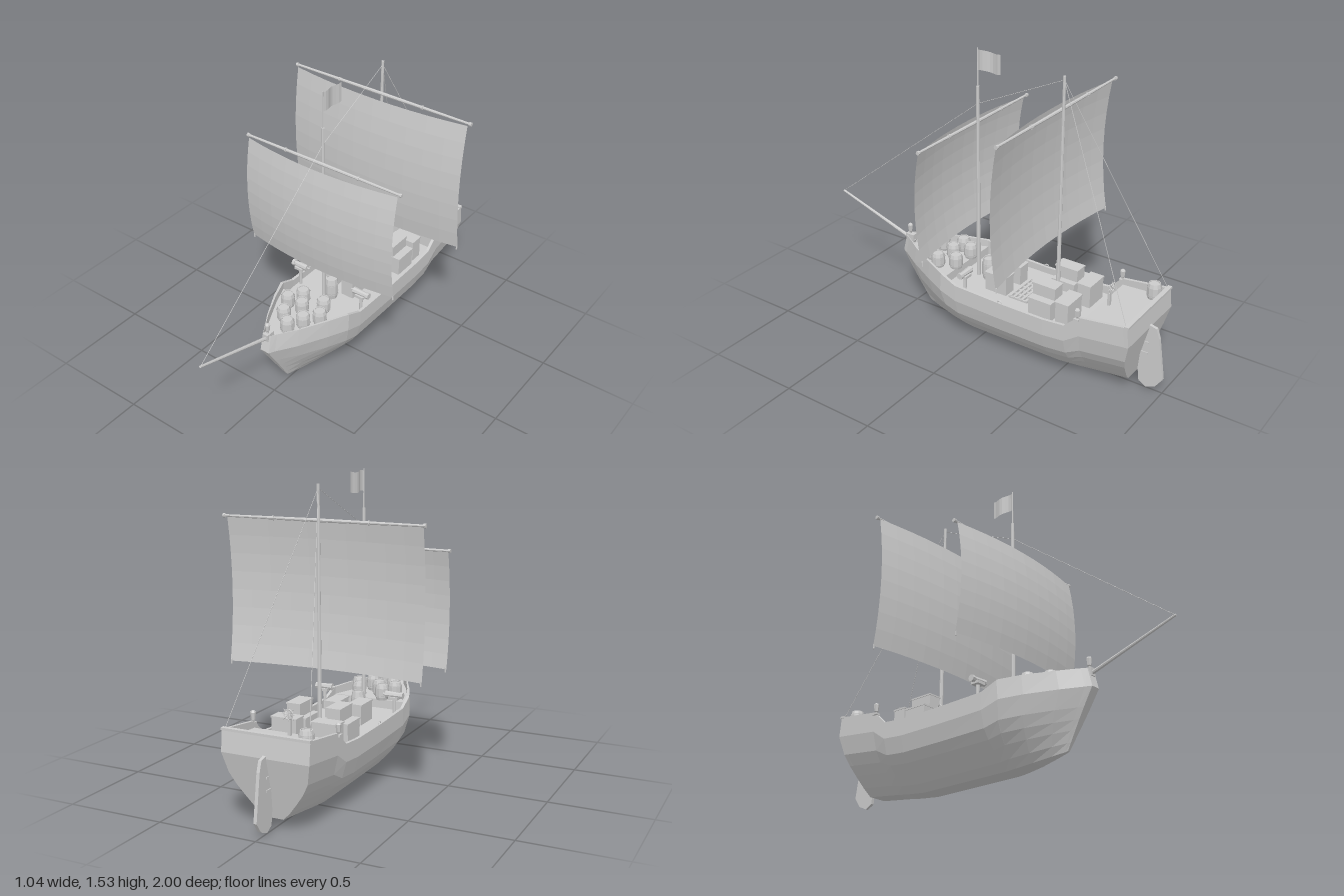
import * as THREE from 'three';

const material = new THREE.MeshStandardMaterial({ color: 0xcccccc, flatShading: true, side: THREE.DoubleSide });
const V = (x, y, z) => new THREE.Vector3(x, y, z);

function add(parent, name, geometry, x = 0, y = 0, z = 0) {
  const mesh = new THREE.Mesh(geometry, material);
  mesh.name = name;
  mesh.position.set(x, y, z);
  parent.add(mesh);
  return mesh;
}

const box = (parent, name, w, h, d, x, y, z) => add(parent, name, new THREE.BoxGeometry(w, h, d), x, y, z);

// Round bar from a to b, tapering from r0 to r1
function bar(parent, name, a, b, r0, r1 = r0, sides = 8) {
  const mesh = add(parent, name, new THREE.CylinderGeometry(r1, r0, a.distanceTo(b), sides));
  mesh.position.copy(a).lerp(b, 0.5);
  mesh.quaternion.setFromUnitVectors(V(0, 1, 0), b.clone().sub(a).normalize());
  return mesh;
}

// Hull lofted through stations from bow to stern, with bulwarks and stepped decks
function hullGeometry() {
  // [keel z, rail z, keel y, rail y, half width, deck y]
  const stations = [
    [0.40, 0.56, 0.04, 0.40, 0.025, 0.40],
    [0.385, 0.53, 0.036, 0.40, 0.04, 0.345],
    [0.32, 0.43, 0.027, 0.395, 0.1, 0.345],
    [0.22, 0.28, 0.013, 0.39, 0.173, 0.345],
    [0.12, 0.17, 0.003, 0.382, 0.218, 0.345],
    [0.118, 0.168, 0.003, 0.38, 0.219, 0.30],
    [0.07, 0.07, 0, 0.342, 0.224, 0.30],
    [-0.2, -0.2, 0, 0.335, 0.225, 0.30],
    [-0.45, -0.45, 0, 0.335, 0.225, 0.30],
    [-0.57, -0.57, 0.013, 0.345, 0.224, 0.30],
    [-0.64, -0.65, 0.024, 0.415, 0.223, 0.30],
    [-0.642, -0.652, 0.024, 0.417, 0.223, 0.385],
    [-0.82, -0.89, 0.047, 0.448, 0.22, 0.40],
    [-0.822, -0.892, 0.047, 0.448, 0.22, 0.45],
    [-0.84, -0.913, 0.05, 0.45, 0.22, 0.45],
  ];
  const profile = [[0, 0.22], [0.1, 0.4], [0.24, 0.6], [0.36, 0.76], [0.5, 0.9], [0.74, 1], [1, 1]];
  const positions = [], index = [];
  for (const [zb, zt, yk, ys, hw, deck] of stations) {
    const half = profile.map(([t, w]) => [hw * w, yk + (ys - yk) * t, zb + (zt - zb) * (t === 1 ? 0.85 : Math.min(t / 0.74, 1))]);
    const zRail = half[6][2];
    half.push([hw * 0.93, ys, zRail], [hw * 0.93, deck, zRail]);
    const mirrored = half.map(([x, y, z]) => [-x, y, z]).reverse();
    positions.push(...half.flat(), ...mirrored.flat());
  }
  const n = (profile.length + 2) * 2, last = (stations.length - 1) * n;
  for (let i = 0; i < last; i += n) {
    for (let j = 0; j < n; j++) {
      const k = (j + 1) % n, a = i + j, b = i + k, c = i + n + k, d = i + n + j;
      index.push(a, d, c, a, c, b);
    }
  }
  // Stem and transom caps
  for (let j = 0; j < n / 2 - 1; j++) {
    const a = j, b = j + 1, c = n - 2 - j, d = n - 1 - j;
    index.push(a, b, c, a, c, d);
    index.push(last + a, last + c, last + b, last + a, last + d, last + c);
  }
  const g = new THREE.BufferGeometry();
  g.setAttribute('position', new THREE.Float32BufferAttribute(positions, 3));
  g.setIndex(index);
  g.computeVertexNormals();
  return g;
}

// Square sail bellying forward, with its yard, bands and corner pegs
function squareSail(parent, name, halfWidth, y0, y1, z) {
  const rig = new THREE.Group();
  rig.name = name;
  const g = new THREE.PlaneGeometry(halfWidth * 2, y1 - y0, 10, 8);
  const p = g.attributes.position;
  for (let i = 0; i < p.count; i++) {
    const u = p.getX(i) / halfWidth, v = p.getY(i) * 2 / (y1 - y0);
    p.setZ(i, 0.045 * (1 - u * u) + 0.032 * (1 - v * v));
  }
  g.computeVertexNormals();
  add(rig, 'sail', g, 0, (y0 + y1) / 2, z + 0.01);
  const yardY = y1 + 0.008, end = halfWidth + 0.016;
  for (const s of [-1, 1]) {
    bar(rig, 'yard', V(0, yardY, z), V(s * end, yardY, z), 0.009, 0.006);
    bar(rig, 'yardTip', V(s * (end - 0.012), yardY, z), V(s * end, yardY, z), 0.01);
    bar(rig, 'yardBand', V(s * halfWidth * 0.48, yardY, z), V(s * (halfWidth * 0.48 + 0.008), yardY, z), 0.011);
    bar(rig, 'cornerPeg', V(s * (halfWidth - 0.005), y0 - 0.015, z + 0.01), V(s * (halfWidth - 0.005), y0 + 0.01, z + 0.01), 0.004);
  }
  parent.add(rig);
}

function barrel(parent, x, y, z, h = 0.085) {
  const pts = [[0, 0], [0.029, 0], [0.036, 0.3], [0.036, 0.7], [0.029, 1], [0.025, 1], [0.025, 0.94], [0, 0.94]];
  add(parent, 'barrel', new THREE.LatheGeometry(pts.map(([r, t]) => new THREE.Vector2(r, t * h)), 10), x, y, z);
  for (const t of [0.25, 0.75]) {
    add(parent, 'barrelHoop', new THREE.CylinderGeometry(0.037, 0.037, 0.006, 10, 1, true), x, y + t * h, z);
  }
}

function lantern(parent, x, y, z) {
  const pts = [[0, 0], [0.006, 0], [0.006, 0.015], [0.01, 0.02], [0.014, 0.055], [0.009, 0.062], [0, 0.065]];
  add(parent, 'lantern', new THREE.LatheGeometry(pts.map(([r, h]) => new THREE.Vector2(r, h)), 6), x, y, z);
}

function crate(parent, w, h, d, x, y, z) {
  box(parent, 'crate', w, h, d, x, y + h / 2, z);
  box(parent, 'crateLid', w + 0.006, 0.008, d + 0.006, x, y + h - 0.002, z);
}

export function createModel() {
  const ship = new THREE.Group();
  ship.name = 'sailingShip';
  add(ship, 'hull', hullGeometry());
  box(ship, 'sternRail', 0.445, 0.012, 0.022, 0, 0.45, -0.898);

  // Rudder blade with hinges
  const outline = [[0.885, 0.35], [0.91, 0.36], [0.95, 0.35], [0.967, 0.3], [1, 0.08], [0.965, 0.03], [0.915, 0.008], [0.875, 0.03], [0.866, 0.1]];
  const blade = new THREE.ExtrudeGeometry(new THREE.Shape(outline.map(([a, b]) => new THREE.Vector2(a, b))), { depth: 0.016, bevelEnabled: false });
  add(ship, 'rudder', blade.rotateY(Math.PI / 2), -0.008, 0, 0);
  for (const y of [0.2, 0.26]) box(ship, 'rudderHinge', 0.024, 0.01, 0.06, 0, y, -0.885);

  // Masts and bowsprit
  bar(ship, 'foreMast', V(0, 0.29, 0.08), V(0, 1.34, 0.08), 0.011, 0.008);
  bar(ship, 'flagPole', V(0, 1.33, 0.08), V(0, 1.53, 0.08), 0.004, 0.003);
  bar(ship, 'mainMast', V(0, 0.29, -0.4), V(0, 1.49, -0.4), 0.011, 0.007);
  bar(ship, 'bowsprit', V(0, 0.366, 0.5), V(0, 0.53, 0.998), 0.01, 0.006);
  box(ship, 'bowspritSocket', 0.03, 0.04, 0.05, 0, 0.385, 0.525);
  lantern(ship, 0, 0.4, 0.53);

  squareSail(ship, 'foreSail', 0.44, 0.56, 1.142, 0.093);
  squareSail(ship, 'mainSail', 0.505, 0.61, 1.314, -0.384);

  // Rippled flag
  const flag = new THREE.PlaneGeometry(0.135, 0.1, 8, 1).rotateY(Math.PI / 2);
  const fp = flag.attributes.position;
  for (let i = 0; i < fp.count; i++) {
    const k = 0.0675 - fp.getZ(i);
    fp.setX(i, 0.007 * Math.sin(k * 60));
    fp.setY(i, fp.getY(i) + 0.004 * Math.sin(k * 50));
  }
  flag.computeVertexNormals();
  add(ship, 'flag', flag, 0, 1.472, 0.0125);

  // Rigging
  const rope = (a, b) => bar(ship, 'rope', a, b, 0.0013, 0.0013, 4);
  rope(V(0, 0.53, 0.995), V(0, 1.25, 0.08));
  rope(V(0, 1.25, 0.08), V(0, 1.47, -0.4));
  for (const s of [-1, 1]) rope(V(0, 1.47, -0.4), V(s * 0.21, 0.45, -0.89));

  // Barrels on the foredeck, by the mast and at the stern
  for (const [x, z] of [[-0.06, 0.175], [0.07, 0.175], [-0.1, 0.25], [-0.01, 0.25], [0.11, 0.26], [-0.05, 0.345], [0.06, 0.33], [0.02, 0.405]]) {
    barrel(ship, x, 0.343, z, 0.08);
  }
  barrel(ship, 0, 0.3, 0.015, 0.12);
  barrel(ship, -0.168, 0.395, -0.84);

  // Hatch grating
  for (let i = 0; i < 5; i++) box(ship, 'gratingBar', 0.2, 0.012, 0.012, 0, 0.306, -0.18 - i * 0.024);
  for (let i = 0; i < 6; i++) box(ship, 'gratingBar', 0.012, 0.01, 0.11, -0.095 + i * 0.038, 0.304, -0.228);

  for (const s of [-1, 1]) {
    // Cargo
    crate(ship, 0.07, 0.1, 0.125, s * 0.065, 0.3, -0.095);
    crate(ship, 0.14, 0.1, 0.125, s * 0.11, 0.3, -0.405);
    crate(ship, 0.07, 0.065, 0.125, s * 0.105, 0.4, -0.405);
    crate(ship, 0.13, 0.12, 0.07, s * 0.105, 0.3, -0.525);

    // Swivel gun on the rail
    const gun = new THREE.Group();
    gun.name = 'swivelGun';
    bar(gun, 'gunPost', V(s * 0.195, 0.3, -0.025), V(s * 0.195, 0.405, -0.025), 0.009);
    box(gun, 'gunCradle', 0.05, 0.014, 0.045, s * 0.195, 0.405, -0.025);
    bar(gun, 'gunBarrel', V(s * 0.15, 0.42, -0.025), V(s * 0.235, 0.42, -0.025), 0.018, 0.013);
    bar(gun, 'gunMuzzle', V(s * 0.228, 0.42, -0.025), V(s * 0.243, 0.42, -0.025), 0.017);
    bar(gun, 'gunKnob', V(s * 0.135, 0.42, -0.025), V(s * 0.15, 0.42, -0.025), 0.005);
    gun.position.z = 0.05;
    ship.add(gun);

    // Lanterns and rail cleats
    box(ship, 'lanternBase', 0.026, 0.01, 0.026, s * 0.22, 0.405, -0.64);
    lantern(ship, s * 0.22, 0.4, -0.64);
    add(ship, 'cleat', new THREE.TorusGeometry(0.011, 0.003, 5, 8, Math.PI).rotateY(Math.PI / 2), s * 0.218, 0.336, -0.2);
  }

  // Steering wheel on its stand
  const wheel = new THREE.Group();
  wheel.name = 'steeringWheel';
  add(wheel, 'wheelRim', new THREE.TorusGeometry(0.023, 0.003, 5, 16));
  for (let i = 0; i < 4; i++) {
    const c = 0.034 * Math.cos(i * Math.PI / 4), s = 0.034 * Math.sin(i * Math.PI / 4);
    bar(wheel, 'wheelSpoke', V(-c, -s, 0), V(c, s, 0), 0.002, 0.002, 5);
  }
  wheel.position.set(0, 0.488, -0.7);
  ship.add(wheel);
  box(ship, 'wheelStand', 0.016, 0.11, 0.014, 0, 0.44, -0.688);
  return ship;
}
